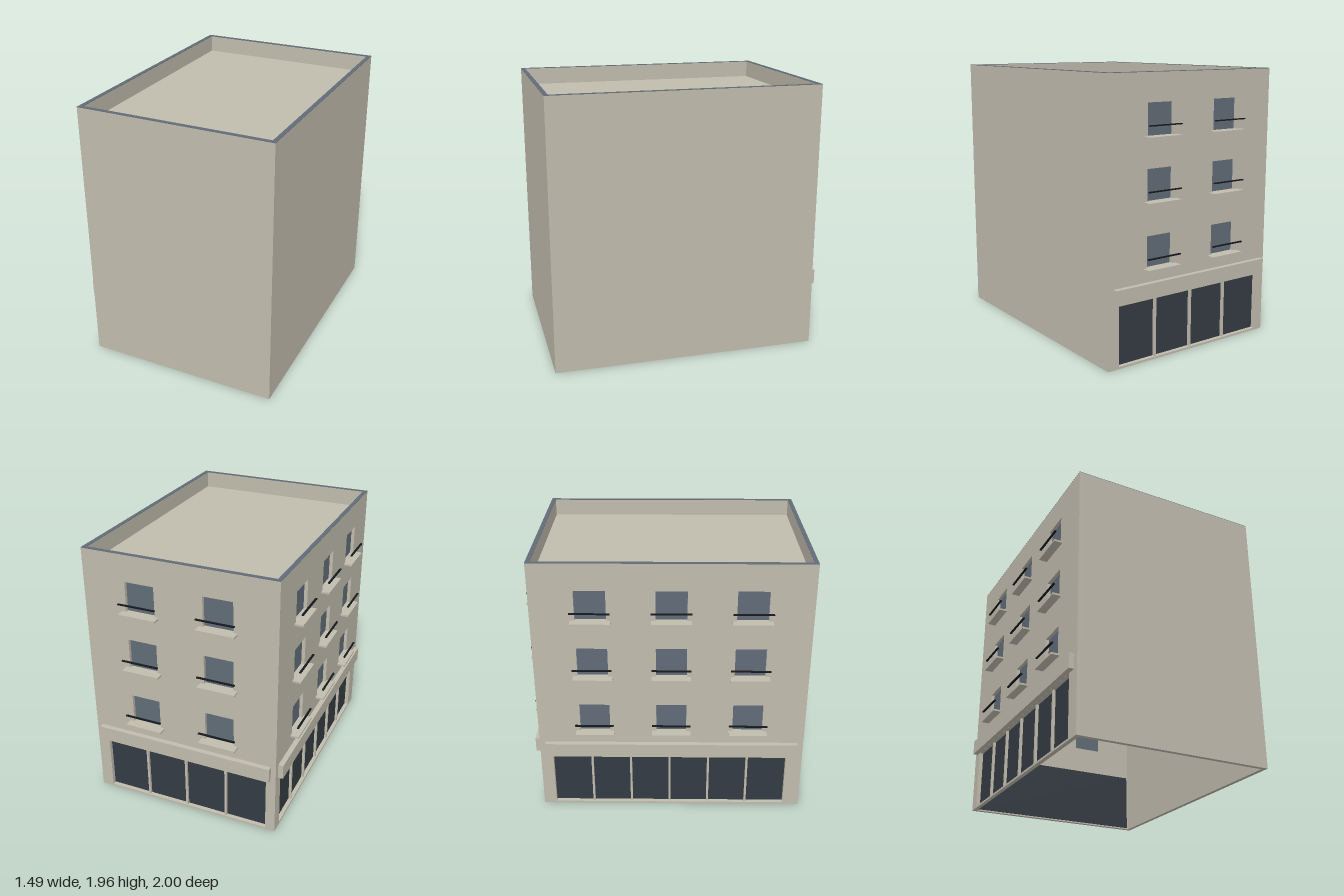
import * as THREE from 'three';

const H = 1.955, T = 0.03, ROOF = 1.83;
// footprint corners [x, z], very slightly turned from the axes
const FL = [-0.68, 0.997], FR = [0.741, 0.984], BR = [0.733, -0.943], BL = [-0.685, -0.93];

const mat = (name, color) => {
  const m = new THREE.MeshStandardMaterial({ color });
  m.name = name;
  return m;
};

export function createModel() {
  const stone = mat('stone', 0xc0bbad);
  const slate = mat('slate', 0x616c77);
  const shopGlass = mat('shop glass', 0x343b43);
  const iron = mat('iron', 0x15181c);

  const building = new THREE.Group();
  building.name = 'cornerBuilding';

  const add = (parent, name, geo, material) => {
    const m = new THREE.Mesh(geo, material);
    m.name = name;
    parent.add(m);
    return m;
  };
  // box given by its ranges along the wall, up, and outward
  const block = (parent, name, material, u0, u1, y0, y1, z0, z1) =>
    add(parent, name, new THREE.BoxGeometry(u1 - u0, y1 - y0, z1 - z0), material)
      .position.set((u0 + u1) / 2, (y0 + y1) / 2, (z0 + z1) / 2);
  const rect = (C, u0, u1, y0, y1) => {
    const s = new C();
    s.moveTo(u0, y0);
    s.lineTo(u1, y0);
    s.lineTo(u1, y1);
    s.lineTo(u0, y1);
    s.closePath();
    return s;
  };

  // A wall from corner a to corner b, local z pointing outward
  function wall(name, a, b, openings) {
    const dx = b[0] - a[0], dz = b[1] - a[1], length = Math.hypot(dx, dz);
    const g = new THREE.Group();
    g.name = name;
    g.position.set(a[0], 0, a[1]);
    g.rotation.y = Math.atan2(-dz, dx);
    const shape = rect(THREE.Shape, 0, length, 0, H - 0.002);
    for (const o of openings) shape.holes.push(rect(THREE.Path, ...o));
    const geo = new THREE.ExtrudeGeometry(shape, { depth: T, bevelEnabled: false });
    geo.translate(0, 0, -T);
    add(g, name + 'Panel', geo, stone);
    building.add(g);
    return g;
  }

  // Street wall: shopfront with fascia below, three floors of windows above
  function streetWall(name, a, b, centres, shop, fascia, panes) {
    const sills = [0.658, 1.109, 1.541];
    const windows = [];
    for (const y of sills) for (const u of centres) windows.push([u - 0.108, u + 0.108, y, y + 0.218]);
    const g = wall(name, a, b, [[shop[0], shop[1], 0.015, 0.45], ...windows]);

    for (const [u0, u1, y0, y1] of windows) {
      const u = (u0 + u1) / 2;
      block(g, 'windowGlass', slate, u0, u1, y0, y1, -T, -T + 0.005);
      block(g, 'windowSill', stone, u - 0.138, u + 0.138, y0 - 0.014, y0, -0.01, 0.062);
      block(g, 'windowRail', iron, u - 0.138, u + 0.138, y0 + 0.069, y0 + 0.077, 0.046, 0.06);
    }

    block(g, 'shopFascia', stone, fascia[0], fascia[1], 0.451, 0.559, -0.01, 0.037);
    block(g, 'shopGlazing', shopGlass, fascia[0], fascia[1], 0.01, 0.452, -T - 0.006, -T - 0.001);
    for (let i = 1; i < panes; i++) {
      const u = shop[0] + (shop[1] - shop[0]) * i / panes;
      block(g, 'shopMullion', stone, u - 0.008, u + 0.008, 0.015, 0.45, -T - 0.001, -0.012);
    }
  }

  // Blank walls
  wall('frontWall', FL, FR, []);
  wall('leftWall', FR, BR, []);

  // Street walls
  streetWall('backWall', BR, BL, [0.426, 0.996], [0.089, 1.346], [0.043, 1.381], 4);
  streetWall('rightWall', BL, FL, [0.413, 0.963, 1.513], [0.092, 1.809], [0.044, 1.883], 6);

  // Outline of the footprint, inset by d
  const outline = (C, d) => new C([FL, FR, BR, BL].map(([x, z]) =>
    new THREE.Vector2(x - Math.sign(x) * d, -(z - Math.sign(z) * d))));

  // Sunken flat roof
  const roofGeo = new THREE.ExtrudeGeometry(outline(THREE.Shape, T - 0.005), { depth: 0.03, bevelEnabled: false });
  roofGeo.rotateX(-Math.PI / 2);
  roofGeo.translate(0, ROOF - 0.03, 0);
  add(building, 'roof', roofGeo, stone);

  // Coping on top of the parapet
  const ring = outline(THREE.Shape, 0);
  ring.holes.push(outline(THREE.Path, T));
  const copingGeo = new THREE.ExtrudeGeometry(ring, { depth: 0.003, bevelEnabled: false });
  copingGeo.rotateX(-Math.PI / 2);
  copingGeo.translate(0, H - 0.002, 0);
  add(building, 'parapetCoping', copingGeo, slate);

  return building;
}
